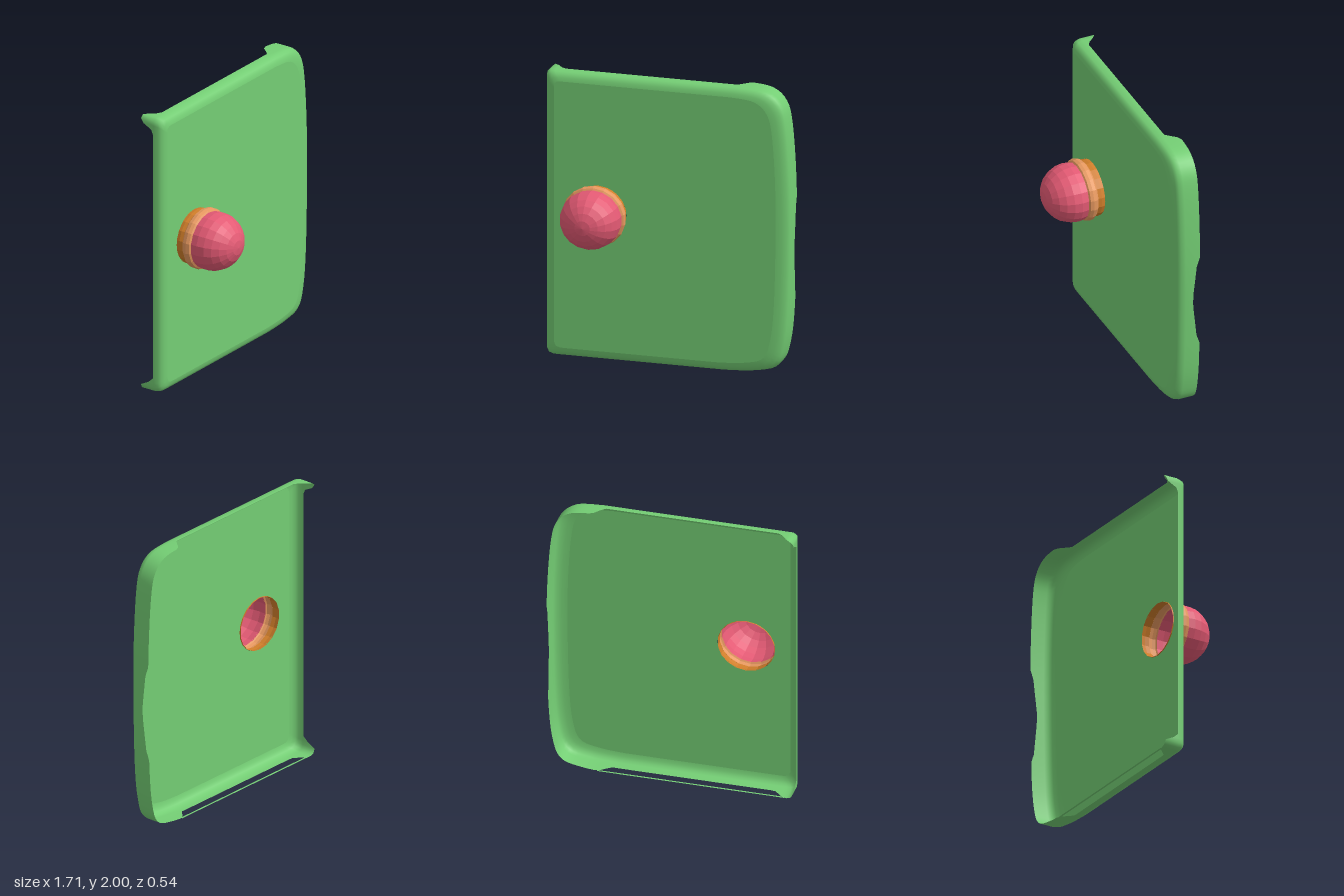
import * as THREE from 'three';

const green = new THREE.MeshStandardMaterial({ color: 0x74ce74, side: THREE.DoubleSide });
const pink = new THREE.MeshStandardMaterial({ color: 0xe45a74, side: THREE.DoubleSide, flatShading: true });
const amber = new THREE.MeshStandardMaterial({ color: 0xd07e2a, side: THREE.DoubleSide, flatShading: true });
const peach = new THREE.MeshStandardMaterial({ color: 0xe6985f, side: THREE.DoubleSide, flatShading: true });

const KNOB = { x: -0.485, y: 1.038, r: 0.2 };
const BACK = -0.27, WALL = -0.165;

// Door outline, counter-clockwise: square on the left, soft on the right
function outline() {
  const s = new THREE.Shape();
  s.moveTo(-0.855, 0.04);
  s.quadraticCurveTo(-0.855, 0, -0.79, 0);
  s.lineTo(0.4, 0);
  s.splineThru([[0.6, 0.015], [0.75, 0.06], [0.81, 0.2], [0.84, 0.48], [0.853, 1], [0.848, 1.4],
    [0.822, 1.75], [0.78, 1.9], [0.68, 1.98], [0.5, 2]].map(([x, y]) => new THREE.Vector2(x, y)));
  s.lineTo(-0.82, 2);
  s.quadraticCurveTo(-0.855, 2, -0.855, 1.975);
  s.lineTo(-0.855, 0.04);
  return s.getSpacedPoints(220).slice(0, -1);
}

// Moves an outline point inwards; the right side is rounded more broadly
function inset(p, d) {
  const kx = 1 - (d * (p.x > 0 ? 1.5 : 1)) / 0.855;
  return new THREE.Vector2(p.x * kx, 1 + (p.y - 1) * (1 - d));
}

// 0 outside a..b, 1 inside, with a linear ramp of width w
const span = (v, a, b, w) => THREE.MathUtils.clamp(Math.min(v - a, b - v) / w, 0, 1);
const mix = THREE.MathUtils.lerp;

// Depth at which the side wall stops: worn away on the left, top, right and bottom
function wallEnd(p) {
  if (p.x < -0.85) return mix(BACK, -0.172, span(p.y, 0.04, 1.96, 0.05));
  if (p.y > 1.97) return mix(BACK, -0.185, span(p.x, -0.82, 0.54, 0.07));
  if (p.y < 0.03) return mix(BACK, -0.195, span(p.x, -0.79, 0.5, 0.08));
  if (p.x > 0.7) {
    const a = span(p.y, 0.54, 1.23, 0.06), b = span(p.y, 0.58, 1.2, 0.32);
    return BACK + 0.02 * a + 0.03 * Math.min(1, b * 1.2);
  }
  return BACK;
}

// Closed strip through loops of points
function loopStrip(loops) {
  const n = loops[0].length, pos = [], idx = [];
  loops.forEach(l => l.forEach(v => pos.push(v.x, v.y, v.z)));
  for (let r = 0; r < loops.length - 1; r++) {
    for (let i = 0; i < n; i++) {
      const j = (i + 1) % n, a = r * n + i, b = r * n + j;
      idx.push(a, a + n, b, b, a + n, b + n);
    }
  }
  const g = new THREE.BufferGeometry();
  g.setAttribute('position', new THREE.Float32BufferAttribute(pos, 3));
  g.setIndex(idx);
  g.computeVertexNormals();
  return g;
}

function add(parent, name, geometry, material) {
  const m = new THREE.Mesh(geometry, material);
  m.name = name;
  parent.add(m);
  return m;
}

// Part of the knob turned about the z axis; profile is [radius, z]
function turned(profile) {
  const g = new THREE.LatheGeometry(profile.map(([r, z]) => new THREE.Vector2(r, z)), 18);
  g.rotateX(Math.PI / 2);
  g.scale(1.045, 1, 1);
  return g;
}

export function createModel() {
  const model = new THREE.Group();
  const pts = outline();

  // Door: flat face with an opening behind the knob
  const door = new THREE.Group();
  door.name = 'door';
  model.add(door);
  const face = new THREE.Shape(pts.map(p => inset(p, 0.065)));
  const hole = new THREE.Path();
  hole.absellipse(KNOB.x, KNOB.y, 0.2, 0.19, 0, Math.PI * 2, true);
  face.holes.push(hole);
  add(door, 'doorFace', new THREE.ShapeGeometry(face, 12), green).position.z = -0.098;

  // Rounded edge running into the worn side wall
  const loops = [[0.065, -0.098], [0.04, -0.103], [0.018, -0.116], [0.006, -0.135], [0, WALL]].map(([d, z]) =>
    pts.map(p => { const q = inset(p, d); return new THREE.Vector3(q.x, q.y, z); }));
  loops.push(pts.map(p => new THREE.Vector3(p.x, p.y, wallEnd(p))));
  add(door, 'doorEdge', loopStrip(loops), green);

  // Thin strip left behind the slot in the bottom wall
  const strip = new THREE.PlaneGeometry(1.3, 0.014);
  strip.rotateX(Math.PI / 2);
  add(door, 'bottomStrip', strip, green).position.set(-0.145, 0.002, BACK + 0.007);

  // Hollow knob: neck, collar and round cap
  const knob = new THREE.Group();
  knob.name = 'knob';
  knob.position.set(KNOB.x, KNOB.y, 0);
  model.add(knob);
  add(knob, 'knobNeck', turned([[0.19, -0.105], [0.195, -0.075], [0.192, -0.045]]), amber);
  add(knob, 'knobCollar', turned([[0.192, -0.05], [0.208, -0.035], [0.212, -0.01], [0.206, 0.012], [0.194, 0.02]]), peach);
  const cap = [];
  for (let i = 0; i <= 7; i++) {
    const a = mix(-0.25, Math.PI / 2, i / 7);
    cap.push([Math.max(0, KNOB.r * Math.cos(a)), 0.066 + 0.204 * Math.sin(a)]);
  }
  add(knob, 'knobCap', turned(cap), pink);

  return model;
}
